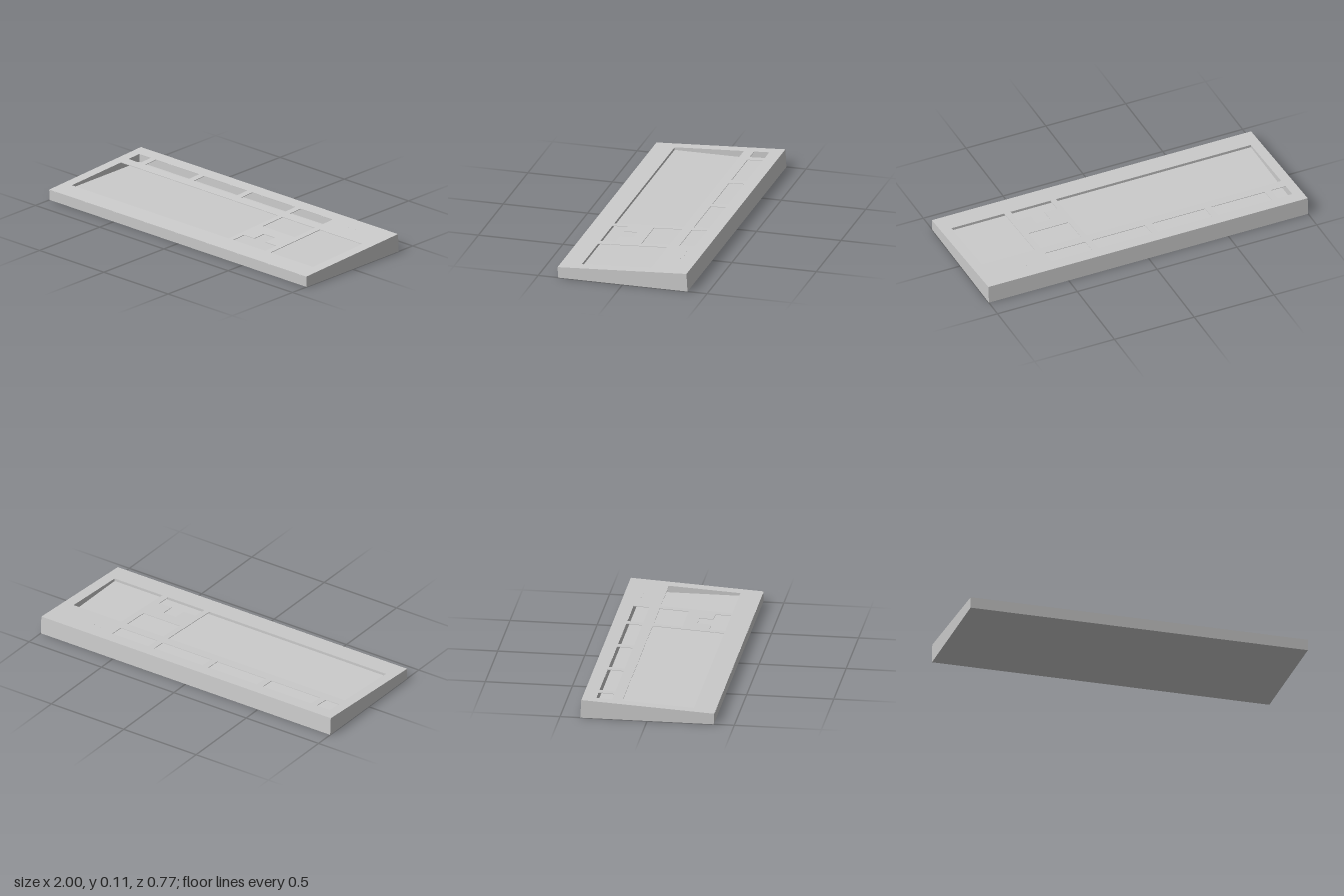
import * as THREE from 'three';

const material = new THREE.MeshStandardMaterial({ color: 0xcccccc, flatShading: true, side: THREE.DoubleSide });

// Case section corners as [z, y]
const FRONT_BOTTOM = [0.382, 0], FRONT_TOP = [0.385, 0.064];
const BACK_TOP = [-0.378, 0.107], BACK_BOTTOM = [-0.384, 0];
const DECK = 0.003;        // thickness of the top plate
const FLOOR = 0.055;       // height of the cavity floor
const CAVITY = { left: -0.94, right: 0.935, front: 0.26, back: -0.30 };

const run = FRONT_TOP[0] - BACK_TOP[0];
const rise = BACK_TOP[1] - FRONT_TOP[1];
const tilt = Math.atan2(rise, run);
const midZ = (FRONT_TOP[0] + BACK_TOP[0]) / 2;
const midY = (FRONT_TOP[1] + BACK_TOP[1]) / 2;
const topAt = (z) => midY - (z - midZ) * rise / run;
const underDeck = (z) => [z, topAt(z) - DECK];

function addMesh(parent, name, geometry) {
  const mesh = new THREE.Mesh(geometry, material);
  mesh.name = name;
  parent.add(mesh);
  return mesh;
}

// Extrude a [z, y] section along x
function sectionAlongX(points, x0, x1) {
  const shape = new THREE.Shape(points.map(([z, y]) => new THREE.Vector2(-z, y)));
  return new THREE.ExtrudeGeometry(shape, { depth: x1 - x0, bevelEnabled: false })
    .rotateY(Math.PI / 2).translate(x0, 0, 0);
}

// Opening outline from [x, z] corners, measured along the sloping deck
const onDeck = ([x, z]) => new THREE.Vector2(x, -(z - midZ) / Math.cos(tilt));
const outline = (corners) => corners.map(onDeck);
const rect = (x0, x1, z0, z1) => outline([[x0, z0], [x0, z1], [x1, z1], [x1, z0]]);

export function createModel() {
  const group = new THREE.Group();
  group.name = 'keyboardCase';

  // Solid side walls
  const full = [FRONT_BOTTOM, underDeck(FRONT_TOP[0]), underDeck(BACK_TOP[0]), BACK_BOTTOM];
  addMesh(group, 'rightWall', sectionAlongX(full, -1, CAVITY.left));
  addMesh(group, 'leftWall', sectionAlongX(full, CAVITY.right, 1));

  // Tray with the cavity under the openings
  const { front, back } = CAVITY;
  addMesh(group, 'tray', sectionAlongX([
    FRONT_BOTTOM, underDeck(FRONT_TOP[0]), underDeck(front), [front, FLOOR],
    [back, FLOOR], underDeck(back), underDeck(BACK_TOP[0]), BACK_BOTTOM,
  ], CAVITY.left, CAVITY.right));

  // Sloping deck with key openings
  const half = Math.hypot(run, rise) / 2;
  const deck = new THREE.Shape([[-1, -half], [1, -half], [1, half], [-1, half]]
    .map(([x, s]) => new THREE.Vector2(x, s)));
  const functionKeys = [[-0.94, -0.85], [-0.81, -0.475], [-0.435, -0.1], [-0.06, 0.275], [0.315, 0.565]];
  const openings = [
    ...functionKeys.map(([x0, x1]) => rect(x0, x1, -0.30, -0.21)),
    rect(-0.94, 0.28, -0.15, 0.26),      // main keys
    rect(0.315, 0.565, -0.15, 0.015),    // navigation keys
    rect(0.605, 0.935, -0.15, 0.26),     // number pad
    outline([[0.315, 0.17], [0.315, 0.26], [0.565, 0.26], [0.565, 0.17],
      [0.48, 0.17], [0.48, 0.09], [0.395, 0.09], [0.395, 0.17]]), // arrow keys
  ];
  deck.holes = openings.map((points) => new THREE.Path(points));
  const plate = addMesh(group, 'deck', new THREE.ExtrudeGeometry(deck, { depth: DECK, bevelEnabled: false })
    .translate(0, 0, -DECK).rotateX(-Math.PI / 2));
  plate.rotation.x = tilt;
  plate.position.set(0, midY, midZ);

  // Row of tiny indicators
  [[0.66, 0.004], [0.715, 0.012], [0.77, 0.004]].forEach(([x, size]) => {
    const light = addMesh(group, 'indicator', new THREE.BoxGeometry(size, 0.002, size));
    light.position.set(x, topAt(-0.275), -0.275);
    light.rotation.x = tilt;
  });

  return group;
}
